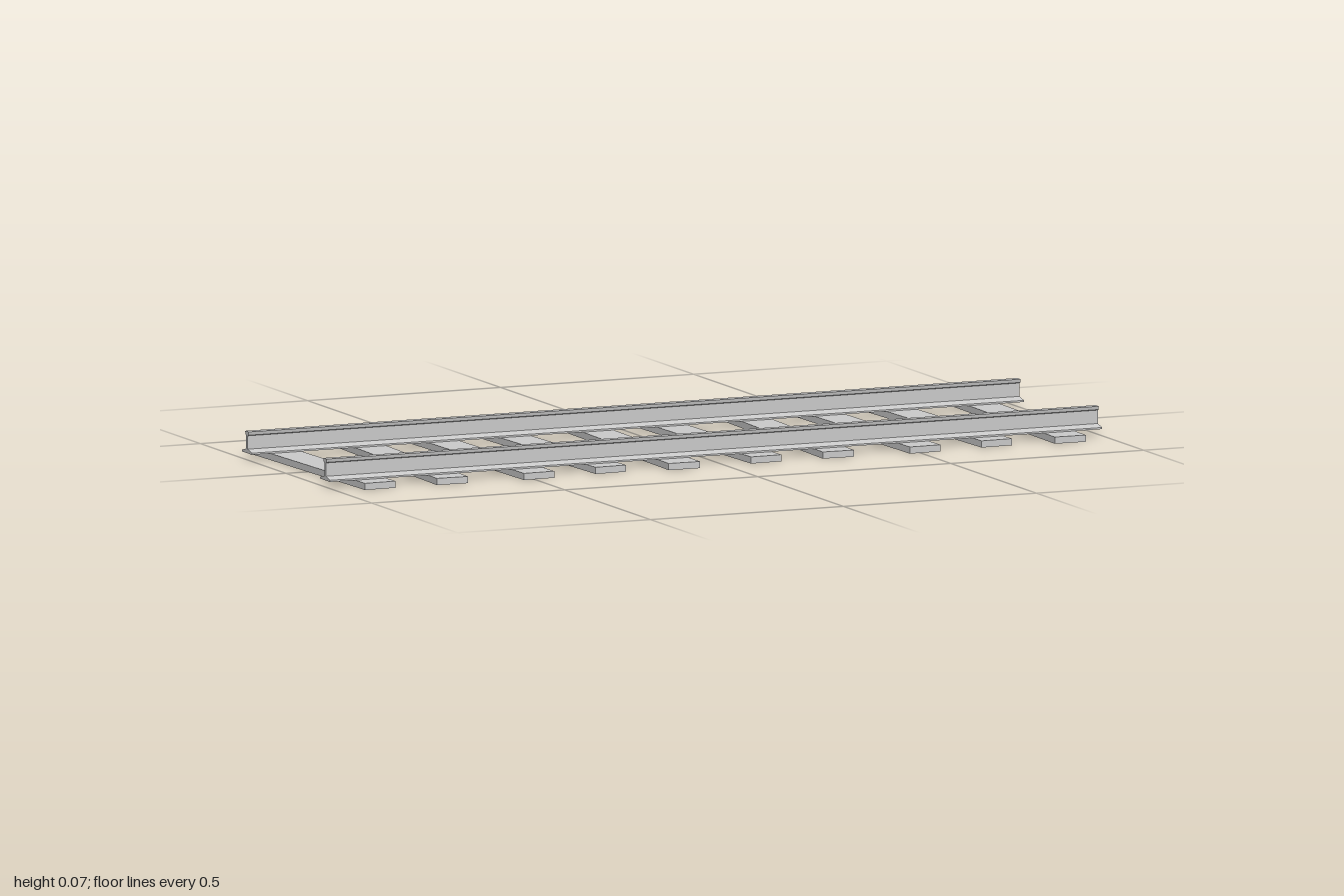
import * as THREE from 'three';

const TIE_HEIGHT = 0.016;
const TIE_WIDTH = 0.08;
const RAIL_Z = 0.228;

// Half of the rail section, from foot to head: [half width, height]
const HALF_PROFILE = [
  [0.029, TIE_HEIGHT], [0.029, 0.02], [0.0045, 0.026],
  [0.0045, 0.058], [0.0085, 0.06], [0.01, 0.068],
];

// Five uneven ties, repeated for each half: [x at back, x at front, z at back, z at front]
const TIES = [
  [-0.915, -0.893, -0.314, 0.309],
  [-0.688, -0.707, -0.318, 0.311],
  [-0.506, -0.487, -0.324, 0.322],
  [-0.321, -0.294, -0.31, 0.305],
  [-0.1, -0.112, -0.329, 0.324],
];

export function createModel() {
  const track = new THREE.Group();
  track.name = 'railTrack';
  const material = new THREE.MeshStandardMaterial({ color: 0xcccccc, flatShading: true });

  // Rails: mirrored section extruded along x
  const right = HALF_PROFILE.map(([w, y]) => new THREE.Vector2(w, y));
  const left = HALF_PROFILE.map(([w, y]) => new THREE.Vector2(-w, y)).reverse();
  const railGeometry = new THREE.ExtrudeGeometry(new THREE.Shape([...right, ...left]), {
    depth: 2, bevelEnabled: false,
  });
  railGeometry.translate(0, 0, -1).rotateY(Math.PI / 2);
  for (const side of [1, -1]) {
    const rail = new THREE.Mesh(railGeometry, material);
    rail.name = side > 0 ? 'frontRail' : 'backRail';
    rail.position.z = side * RAIL_Z;
    track.add(rail);
  }

  // Ties: flat planks, each slightly turned
  for (let half = 0; half < 2; half++) {
    TIES.forEach(([xBack, xFront, zBack, zFront], i) => {
      const dx = xFront - xBack;
      const dz = zFront - zBack;
      const geometry = new THREE.BoxGeometry(TIE_WIDTH, TIE_HEIGHT, Math.hypot(dx, dz));
      const tie = new THREE.Mesh(geometry, material);
      tie.name = `tie${half * TIES.length + i + 1}`;
      tie.position.set((xBack + xFront) / 2 + half, TIE_HEIGHT / 2, (zBack + zFront) / 2);
      tie.rotation.y = Math.atan2(dx, dz);
      track.add(tie);
    });
  }
  return track;
}
